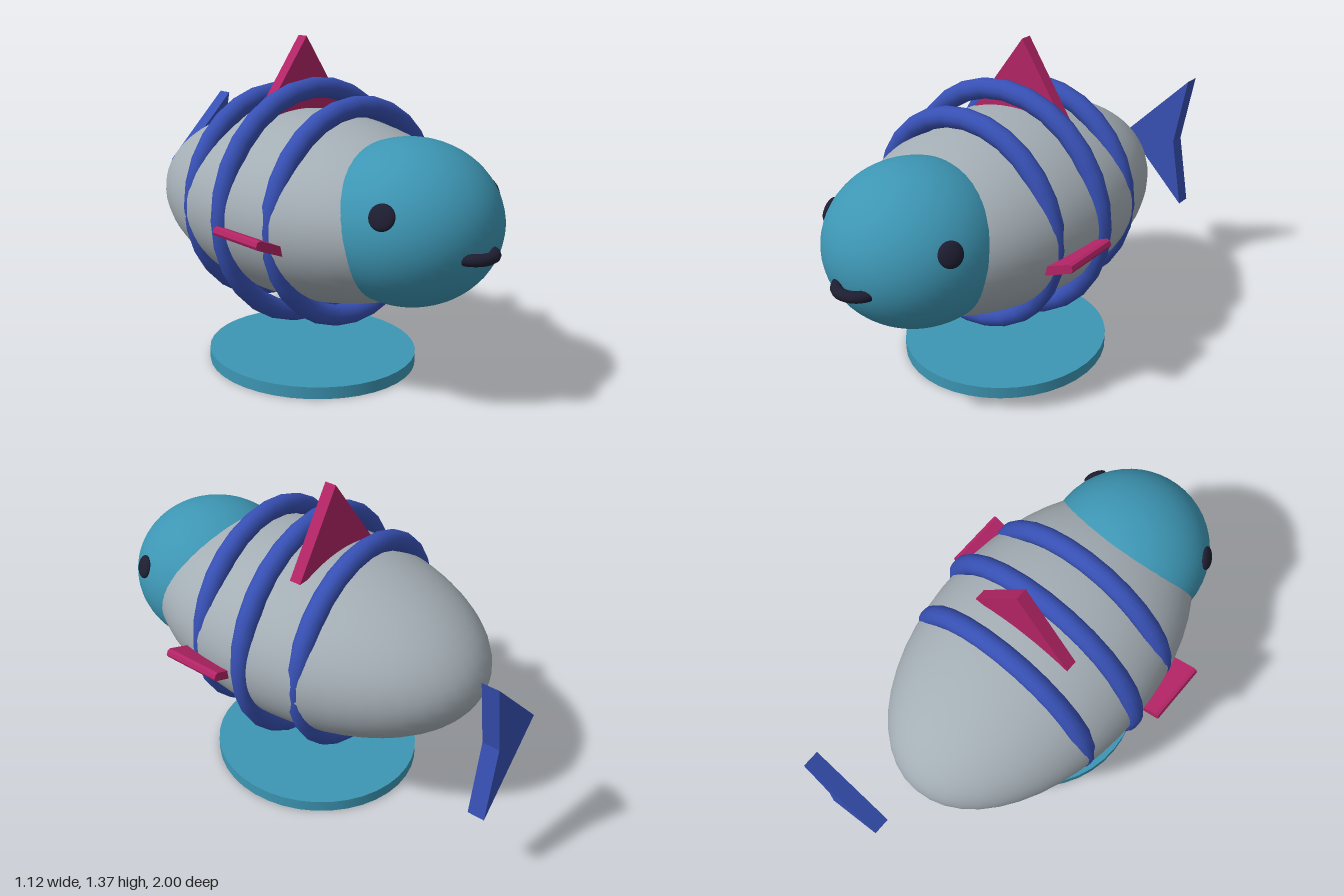
import * as THREE from 'three';

const material = (name, color) => {
  const m = new THREE.MeshStandardMaterial({ color });
  m.name = name;
  return m;
};

export function createModel() {
  const grey = material('bodyGrey', 0xa4aeb5);
  const teal = material('teal', 0x3d96b4);
  const blue = material('bandBlue', 0x3750b4);
  const pink = material('finPink', 0xb32466);
  const dark = material('dark', 0x1e1e32);

  const group = new THREE.Group();
  const add = (name, geometry, mat, x, y, z) => {
    const mesh = new THREE.Mesh(geometry, mat);
    mesh.name = name;
    mesh.position.set(x, y, z);
    group.add(mesh);
    return mesh;
  };
  // Flat plate cut from an outline in x and y
  const plate = (points, depth) => new THREE.ExtrudeGeometry(
    new THREE.Shape(points.map(([x, y]) => new THREE.Vector2(x, y))),
    { depth, bevelEnabled: false });

  // Body and head
  const ball = new THREE.SphereGeometry(1, 48, 32);
  add('body', ball, grey, 0, 0.69, 0.03).scale.set(0.49, 0.38, 0.8);
  add('head', ball, teal, 0, 0.72, 0.585).scale.set(0.35, 0.32, 0.36);

  // Bands around the body
  for (const [name, radius, z] of [
    ['frontBand', 0.425, 0.278], ['middleBand', 0.472, 0.031], ['rearBand', 0.425, -0.215],
  ]) add(name, new THREE.TorusGeometry(radius, 0.043, 12, 28), blue, 0, 0.692, z);

  // Back fin
  add('backFin', plate([[-0.215, 1.03], [0.25, 1.03], [0.03, 1.365]], 0.05), pink, 0, 0, -0.09);

  // Tail fin with a notch
  add('tailFin', plate([[0, 0.695], [0.305, 0.39], [0.25, 0.695], [0.305, 1.0]], 0.07),
    blue, 0, 0, -1);

  // Side fins, tilted up, with blunted outer edges
  const finShape = [[-0.16, -0.018], [-0.01, -0.018], [0, -0.009], [0, 0.009], [-0.01, 0.018], [-0.16, 0.018]];
  for (const side of [1, -1]) {
    const points = finShape.map(([x, y]) => [x * side, y]);
    const fin = add(side > 0 ? 'leftFin' : 'rightFin', plate(points, 0.262), pink, side * 0.557, 0.684, 0.092);
    fin.rotation.z = side * 0.39;
  }

  // Eyes, flattened against the head
  for (const side of [1, -1]) {
    const eye = add(side > 0 ? 'leftEye' : 'rightEye', new THREE.SphereGeometry(0.05, 20, 14),
      dark, side * 0.3, 0.82, 0.73);
    eye.scale.z = 0.4;
    eye.quaternion.setFromUnitVectors(new THREE.Vector3(0, 0, 1),
      new THREE.Vector3(side * 2.44, 0.98, 1.15).normalize());
  }

  // Curved mouth
  const mouth = add('mouth', new THREE.TorusGeometry(0.08, 0.023, 10, 24, Math.PI), dark, 0, 0.664, 0.892);
  mouth.rotation.x = Math.PI / 2;

  // Stand
  add('standDisc', new THREE.CylinderGeometry(0.43, 0.43, 0.05, 40), teal, 0, 0.025, 0.03).scale.z = 1.05;

  return group;
}
